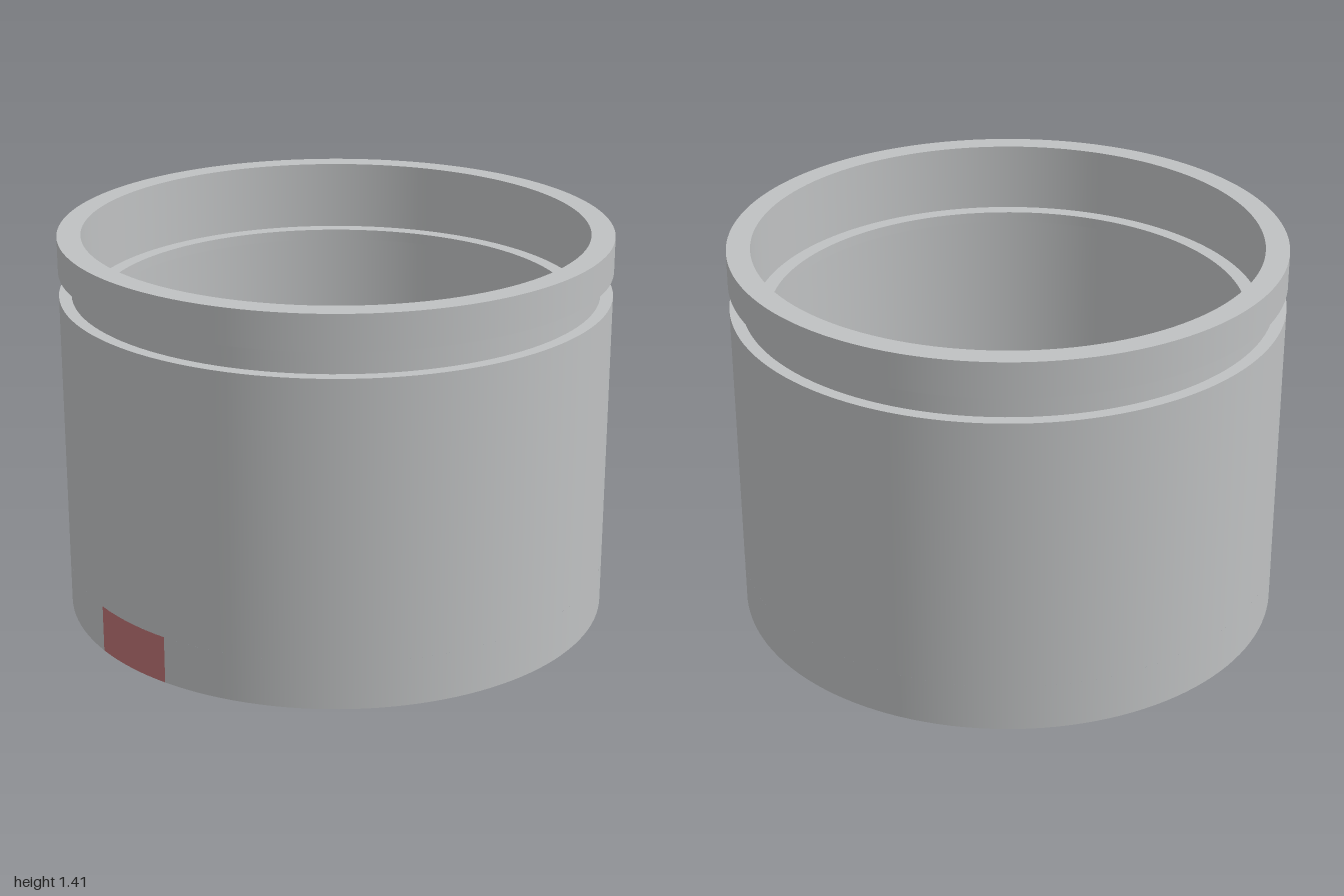
import * as THREE from 'three';
import { mergeGeometries } from 'three/addons/utils/BufferGeometryUtils.js';

const SEGMENTS = 128;
const OUTER = 1, INNER = 0.915, HEIGHT = 1.415;
const PATCH_HALF = 0.171, PATCH_TOP = 0.175;

// Revolves each profile segment separately, so the profile corners stay sharp.
// from(r) and to(r) give the angular range at a radius, measured from the front.
function revolve(profile, from, to, segments) {
  const strips = [];
  for (let i = 0; i < profile.length - 1; i++) {
    const pts = [profile[i], profile[i + 1]].map(([r, y]) => new THREE.Vector2(r, y));
    const start = from(OUTER), length = to(OUTER) - start;
    const geo = new THREE.LatheGeometry(pts, segments, start, length);
    const pos = geo.attributes.position;
    for (let k = 0; k < pos.count; k++) {
      const r = pts[k % 2].x;
      const t = Math.floor(k / 2) / segments;
      const a = from(r) + t * (to(r) - from(r));
      pos.setXYZ(k, r * Math.sin(a), pos.getY(k), r * Math.cos(a));
    }
    strips.push(geo);
  }
  return mergeGeometries(strips);
}

export function createModel() {
  const model = new THREE.Group();
  const grey = new THREE.MeshStandardMaterial({ color: 0xbfc1c2 });
  grey.name = 'metal grey';
  const red = new THREE.MeshStandardMaterial({ color: 0xb87072 });
  red.name = 'marker red';

  const add = (name, geometry, material) => {
    const mesh = new THREE.Mesh(geometry, material);
    mesh.name = name;
    model.add(mesh);
  };

  // Upper sleeve: outer groove, rim, and the inner retaining ledge
  const sleeve = [
    [OUTER, PATCH_TOP], [OUTER, 1.195], [0.955, 1.195], [0.955, 1.285],
    [OUTER, 1.285], [OUTER, HEIGHT], [INNER, HEIGHT], [INNER, 1.16],
    [0.86, 1.16], [0.86, 1.12], [INNER, 1.12], [INNER, PATCH_TOP],
  ];
  add('sleeve', revolve(sleeve, () => 0, () => Math.PI * 2, SEGMENTS), grey);

  // Lower band, interrupted at the front by the marker block
  const foot = [[INNER, PATCH_TOP], [INNER, 0], [OUTER, 0], [OUTER, PATCH_TOP]];
  const half = (r) => Math.asin(PATCH_HALF / r);
  add('lowerBand', revolve(foot, half, (r) => Math.PI * 2 - half(r), SEGMENTS), grey);
  add('frontMarker', revolve(foot, (r) => -half(r), half, 12), red);

  return model;
}
